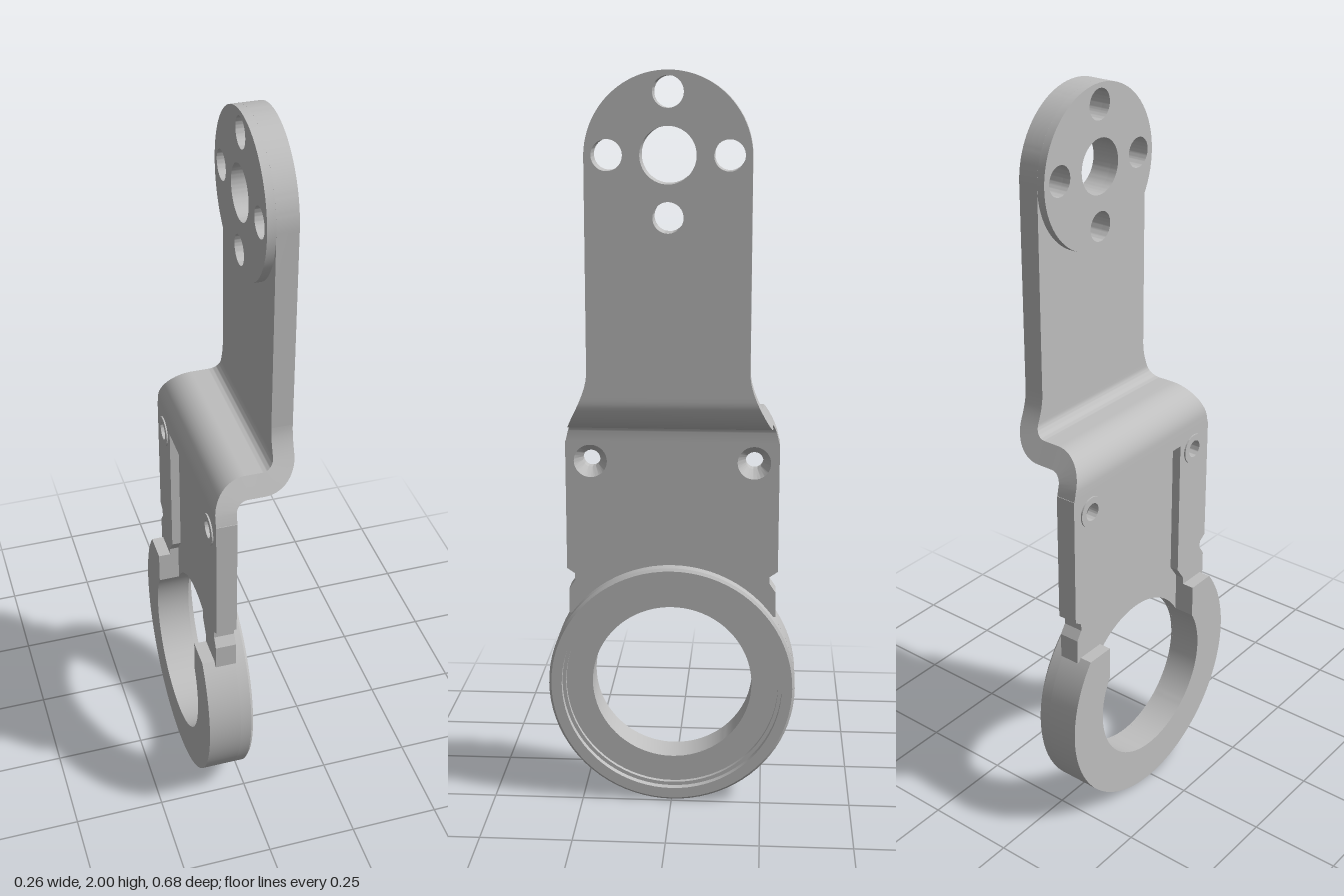
import * as THREE from 'three';
import { toCreasedNormals } from 'three/addons/utils/BufferGeometryUtils.js';

const T = 0.056;              // sheet thickness
const LOW = -0.095;           // rear face of the lower plate
const HIGH = 0.071;           // rear face of the upper plate
const RY = 0.342, RO = 0.342, RI = 0.222; // ring centre height, outer and inner radius

const circleHole = (shape, z, y, r) => {
  const p = new THREE.Path();
  p.absarc(z, y, r, 0, Math.PI * 2, true);
  shape.holes.push(p);
};

// Extrudes a (z, y) outline along x between two positions
function slab(shape, x0, x1) {
  const g = new THREE.ExtrudeGeometry(shape, { depth: x1 - x0, bevelEnabled: false, curveSegments: 40 });
  g.rotateY(Math.PI / 2).translate(x0, 0, 0);
  return toCreasedNormals(g, 0.5);
}

// Lathe whose axis is x; profile is [radius, x]
function latheX(profile, y, z) {
  const g = new THREE.LatheGeometry(profile.map(p => new THREE.Vector2(p[0], p[1])), 80);
  g.rotateZ(-Math.PI / 2).translate(0, y, z);
  return toCreasedNormals(g, 0.5);
}

// S-shaped bend joining the plates, narrowing as it rises
function bendGeometry() {
  const path = [[-0.067, 1.03, Math.PI / 2]];
  const c = LOW + T / 2, d = HIGH + T / 2, r = 0.06, n = 14;
  for (let i = 0; i <= n; i++) {
    const a = Math.PI - (i / n) * Math.PI / 2;
    path.push([c + r + r * Math.cos(a), 1.055 + r * Math.sin(a), a - Math.PI / 2]);
  }
  for (let i = 0; i <= n; i++) {
    const a = -Math.PI / 2 + (i / n) * Math.PI / 2;
    path.push([d - r + r * Math.cos(a), 1.175 + r * Math.sin(a), a + Math.PI / 2]);
  }
  for (let i = 1; i <= 6; i++) path.push([d, 1.175 + i * 0.0125, Math.PI / 2]);
  const half = y => 0.29 - 0.08 * THREE.MathUtils.smoothstep(y, 1.01, 1.25);
  const sections = path.map(([x, y, a]) => {
    const nx = Math.sin(a) * T / 2, ny = -Math.cos(a) * T / 2;
    const w1 = half(y + ny), w2 = half(y - ny);
    return [[x + nx, y + ny, w1], [x + nx, y + ny, -w1], [x - nx, y - ny, -w2], [x - nx, y - ny, w2]];
  });
  const pos = [];
  for (let j = 0; j < sections.length - 1; j++) {
    const s = sections[j], t = sections[j + 1];
    for (let k = 0; k < 4; k++) {
      const m = (k + 1) % 4;
      for (const v of [s[k], s[m], t[m], s[k], t[m], t[k]]) pos.push(...v);
    }
  }
  const g = new THREE.BufferGeometry();
  g.setAttribute('position', new THREE.Float32BufferAttribute(pos, 3));
  return toCreasedNormals(g, 0.5);
}

export function createModel() {
  const model = new THREE.Group();
  const metal = new THREE.MeshStandardMaterial({ color: 0xbfbfbf });
  metal.name = 'grey metal';
  metal.side = THREE.DoubleSide;
  const add = (name, g) => {
    const m = new THREE.Mesh(g, metal);
    m.name = name;
    model.add(m);
  };

  // Upper plate with round end and its rear disc, sharing one hole pattern
  const boltHoles = s => {
    circleHole(s, 0, 1.795, 0.071);
    for (const [z, y] of [[0, 0.153], [0, -0.153], [0.153, 0], [-0.153, 0]]) circleHole(s, z, 1.795 + y, 0.039);
  };
  const upper = new THREE.Shape();
  upper.moveTo(-0.21, 1.25);
  upper.lineTo(0.21, 1.25);
  upper.lineTo(0.21, 1.79);
  upper.absarc(0, 1.79, 0.21, 0, Math.PI, false);
  upper.closePath();
  boltHoles(upper);
  add('upperPlate', slab(upper, HIGH, HIGH + T));
  const disc = new THREE.Shape();
  disc.absarc(0, 1.79, 0.21, 0, Math.PI * 2, false);
  boltHoles(disc);
  add('upperRearDisc', slab(disc, 0.049, HIGH));

  add('bend', bendGeometry());

  // Lower plate: front layer reaches the ring opening, rear layer has an open recess
  const edge = [[0.29, 1.03], [0.29, 0.67], [0.268, 0.655], [0.268, 0.635], [0.285, 0.61], [0.285, 0.54]];
  const mirror = pts => pts.map(([z, y]) => [-z, y]).reverse();
  const arcY = RY + Math.sqrt(RI * RI - 0.19 * 0.19);
  const trace = (s, pts) => pts.forEach(([z, y], i) => (i ? s.lineTo(z, y) : s.moveTo(z, y)));
  const screwHoles = (s, r) => [-1, 1].forEach(k => circleHole(s, k * 0.222, 0.975, r));
  const a0 = Math.atan2(arcY - RY, 0.19);

  const front = new THREE.Shape();
  trace(front, [...mirror(edge).reverse(), [-0.19, 0.54], [-0.19, arcY]]);
  front.absarc(0, RY, RI, Math.PI - a0, a0, true);
  [[0.19, 0.54], ...edge.slice().reverse()].forEach(p => front.lineTo(...p));
  screwHoles(front, 0.045);
  add('lowerPlateFront', slab(front, -0.07, LOW + T));

  const recess = [[0.19, 0.54], [0.19, 0.57], [0.162, 0.61], [0.162, 1.005]];
  const rear = new THREE.Shape();
  trace(rear, [...edge, ...recess, ...mirror(recess), ...mirror(edge)]);
  screwHoles(rear, 0.024);
  add('lowerPlateRear', slab(rear, LOW, -0.07));

  // Countersinks and thin rear collars around the screw holes
  for (const k of [-1, 1]) {
    add('countersink', latheX([[0.045, LOW + T], [0.024, -0.07]], 0.975, k * 0.222));
    const collar = new THREE.Shape();
    collar.absarc(k * 0.222, 0.975, 0.042, 0, Math.PI * 2, false);
    circleHole(collar, k * 0.222, 0.975, 0.024);
    add('screwCollar', slab(collar, LOW - 0.004, LOW));
  }

  // Stepped front of the ring
  add('ringFront', latheX([
    [RI, -0.04], [RO, -0.04], [RO, -0.01], [RO - 0.007, -0.003], [0.306, -0.003],
    [0.306, -0.022], [0.296, -0.022], [0.296, -0.034], [RI, -0.034], [RI, -0.04],
  ], RY, 0));

  // Rear of the ring, cut away at the top where the plate enters
  const b0 = Math.asin((0.55 - RY) / RO);
  const back = new THREE.Shape();
  back.moveTo(-RO * Math.cos(b0), 0.55);
  back.absarc(0, RY, RO, Math.PI - b0, 2 * Math.PI + b0, false);
  back.lineTo(0.19, 0.55);
  back.lineTo(0.19, arcY);
  back.absarc(0, RY, RI, a0, -Math.PI - a0, true);
  back.lineTo(-0.19, 0.55);
  back.closePath();
  add('ringRear', slab(back, -0.129, -0.04));

  return model;
}
